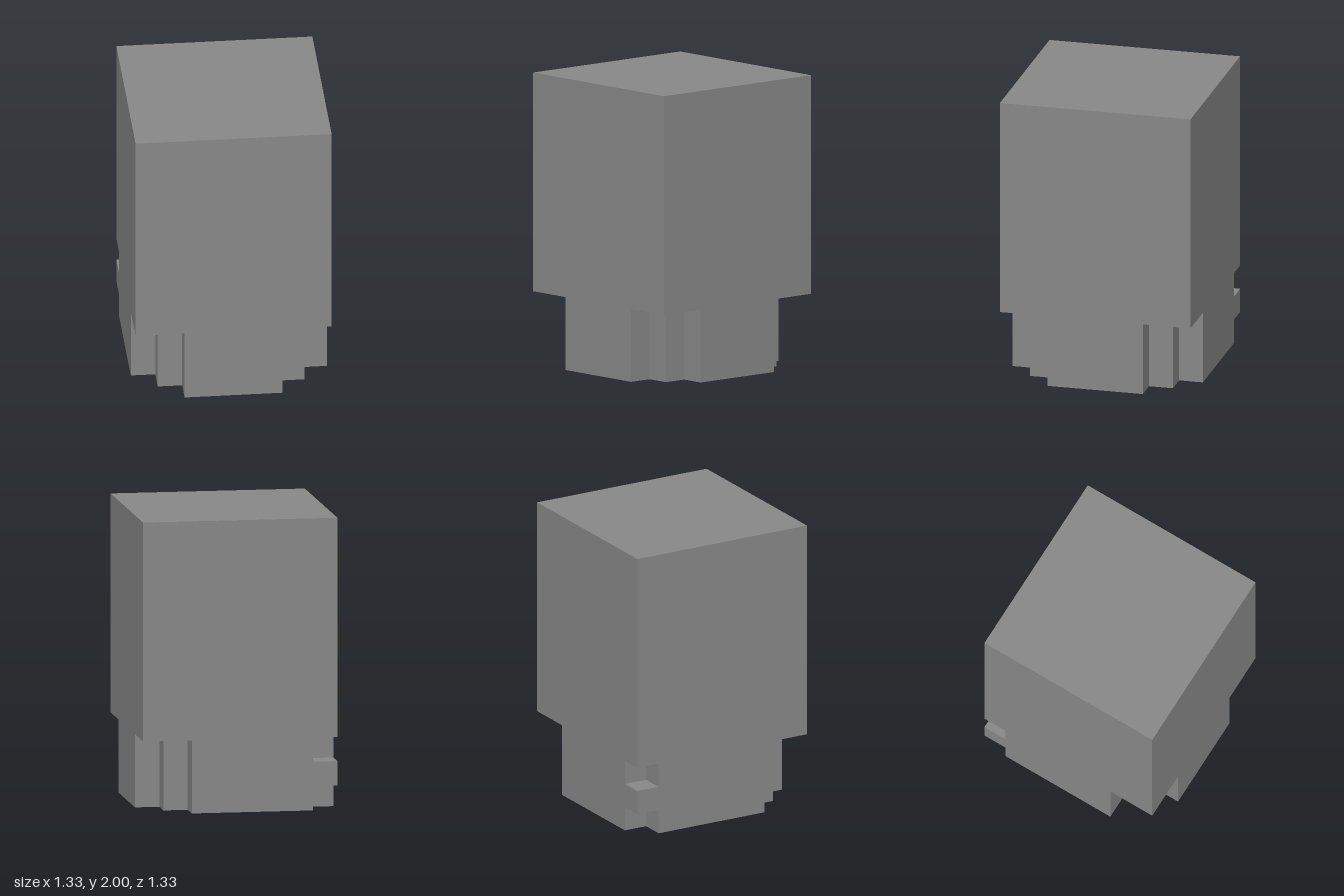
import * as THREE from 'three';

const U = 1 / 6;        // one step of the notches
const H = 4 * U;        // half width of the block
const BASE = 0.5;       // height of the notched base

export function createModel() {
  const model = new THREE.Group();
  model.name = 'notchedBlock';
  const grey = new THREE.MeshStandardMaterial({ color: 0x888888 });
  grey.name = 'grey';

  const add = (name, geometry, x, y, z) => {
    const mesh = new THREE.Mesh(geometry, grey);
    mesh.name = name;
    mesh.position.set(x, y, z);
    model.add(mesh);
  };

  // Plain upper body
  add('upperBody', new THREE.BoxGeometry(2 * H, 2 - BASE, 2 * H), 0, (2 + BASE) / 2, 0);

  // Base plan in steps (x, z): three stepped corners and one small square notch
  const stairs = [[4, 2], [3, 2], [3, 3], [2, 3], [2, 4]];
  const flip = (sx, sz) => stairs.map(([x, z]) => [x * sx, z * sz]);
  const plan = [
    ...flip(1, 1),
    ...flip(-1, 1).reverse(),
    [-4, -3], [-3, -3], [-3, -4],
    ...flip(1, -1).reverse(),
  ];
  const shape = new THREE.Shape(plan.map(([x, z]) => new THREE.Vector2(x * U, z * U)));
  const base = new THREE.ExtrudeGeometry(shape, { depth: BASE, bevelEnabled: false });
  base.rotateX(Math.PI / 2);
  add('steppedBase', base, 0, BASE, 0);

  // Small cube halfway up the square notch
  add('cornerCube', new THREE.BoxGeometry(U, U, U), -3.5 * U, BASE / 2, -3.5 * U);

  return model;
}
